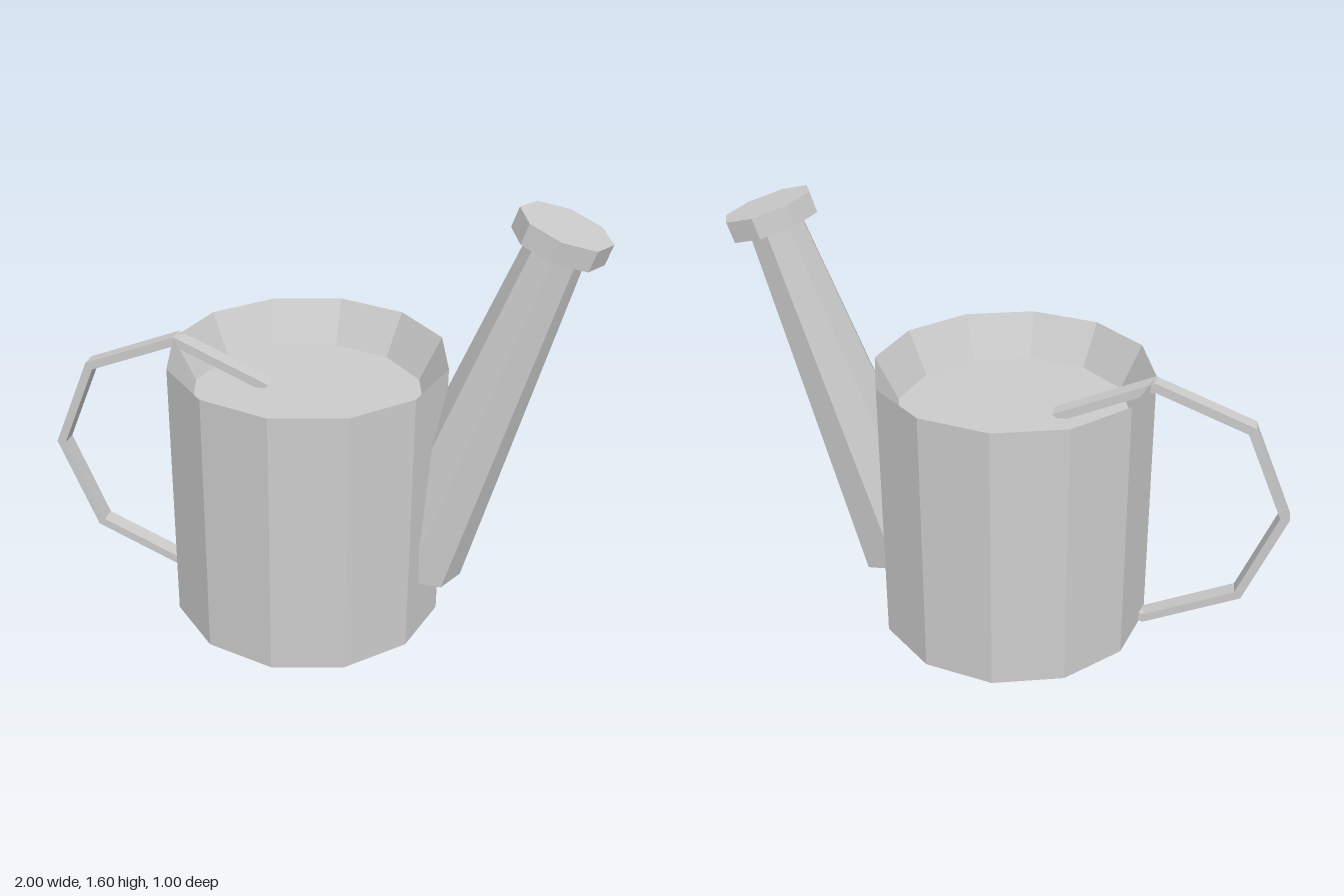
import * as THREE from 'three';

const material = new THREE.MeshStandardMaterial({ color: 0xcccccc, flatShading: true });

function addPart(parent, name, geometry) {
  const mesh = new THREE.Mesh(geometry, material);
  mesh.name = name;
  parent.add(mesh);
  return mesh;
}

// Points on an octagon of the given radius, from 45 to 315 degrees
function arcPoints(radius) {
  return Array.from({ length: 7 }, (_, i) => {
    const a = (i + 1) * Math.PI / 4;
    return new THREE.Vector2(Math.cos(a) * radius, Math.sin(a) * radius);
  });
}

export function createModel() {
  const model = new THREE.Group();
  model.name = 'wateringCan';

  // Twelve-sided can with a bevelled, sunken top
  const profile = [[0, 0], [0.5, 0], [0.5, 1], [0.42, 0.84], [0, 0.84]]
    .map(([r, y]) => new THREE.Vector2(r, y));
  addPart(model, 'body', new THREE.LatheGeometry(profile, 12));

  // Open octagonal handle whose ends run into the can
  const outline = new THREE.Shape([...arcPoints(0.5), ...arcPoints(0.465).reverse()]);
  const handle = addPart(model, 'handle',
    new THREE.ExtrudeGeometry(outline, { depth: 0.06, bevelEnabled: false }));
  handle.position.set(-0.5, 0.5, -0.06);

  // Leaning spout: tapered tube with a wider head
  const spout = new THREE.Group();
  spout.name = 'spout';
  const tubeLength = 1.322, headHeight = 0.074;
  addPart(spout, 'spoutTube', new THREE.CylinderGeometry(0.1, 0.18, tubeLength, 8))
    .position.y = tubeLength / 2;
  addPart(spout, 'spoutHead', new THREE.CylinderGeometry(0.16, 0.16, headHeight, 8))
    .position.y = tubeLength + headHeight / 2;
  spout.position.set(0.412, 0.224, 0);
  spout.rotation.z = -THREE.MathUtils.degToRad(18.2);
  model.add(spout);

  return model;
}
